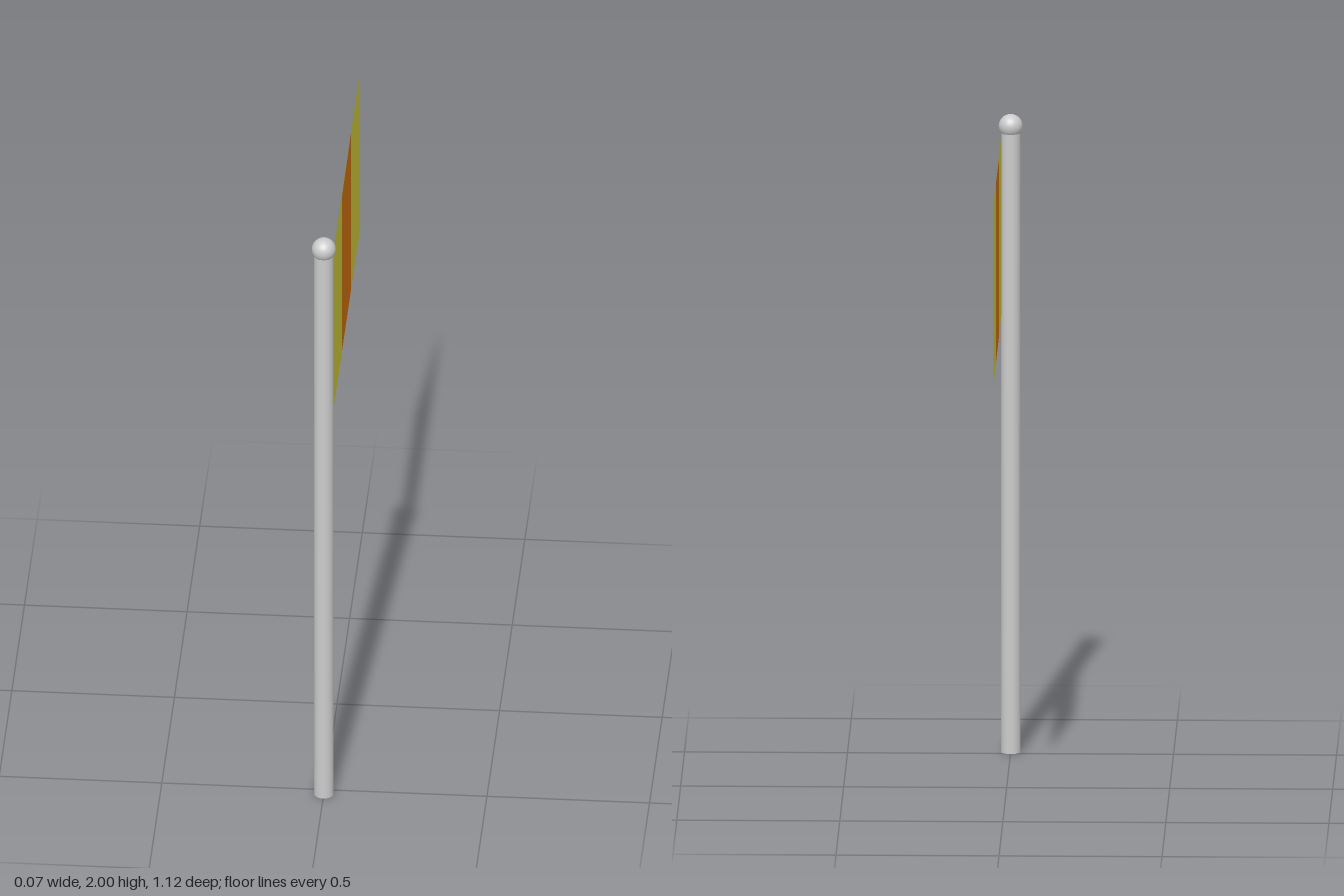
import * as THREE from 'three';

const POLE_Z = 0.522;
const FLAG_X = 0.028; // flag lies against the +x side of the pole

function add(group, name, geometry, color, x, y, z) {
  const material = new THREE.MeshStandardMaterial({ color, side: THREE.DoubleSide });
  const mesh = new THREE.Mesh(geometry, material);
  mesh.name = name;
  mesh.position.set(x, y, z);
  group.add(mesh);
}

// Flat panel in the z-y plane from [z, y] corners
function panel(corners) {
  const shape = new THREE.Shape(corners.map(([z, y]) => new THREE.Vector2(-z, y)));
  return new THREE.ShapeGeometry(shape).rotateY(Math.PI / 2);
}

export function createModel() {
  const model = new THREE.Group();
  model.name = 'flagOnPole';

  // Pole with a ball on top
  add(model, 'pole', new THREE.CylinderGeometry(0.03, 0.03, 1.95, 32), 0xcccccc, 0, 0.975, POLE_Z);
  add(model, 'finial', new THREE.SphereGeometry(0.037, 32, 20), 0xcccccc, 0, 1.963, POLE_Z);

  // Flag cloth, notched from below to receive the middle stripe
  const top = 1.945, bottom = 1.375, stripeFront = 0.16, stripeBack = -0.2;
  const stripeTop = [[stripeBack, 1.94], [stripeFront, 1.93]];
  const flag = new THREE.Group();
  flag.name = 'flag';
  flag.position.x = FLAG_X;
  model.add(flag);
  add(flag, 'flagCloth', panel([
    [0.525, bottom], [stripeFront, bottom], stripeTop[1], stripeTop[0],
    [stripeBack, bottom], [-0.559, bottom], [-0.559, top], [0.525, top],
  ]), 0xd6d23c, 0, 0, 0);
  add(flag, 'middleStripe', panel([
    [stripeFront, bottom], [stripeBack, bottom], ...stripeTop,
  ]), 0xd6760c, 0, 0, 0);

  return model;
}
